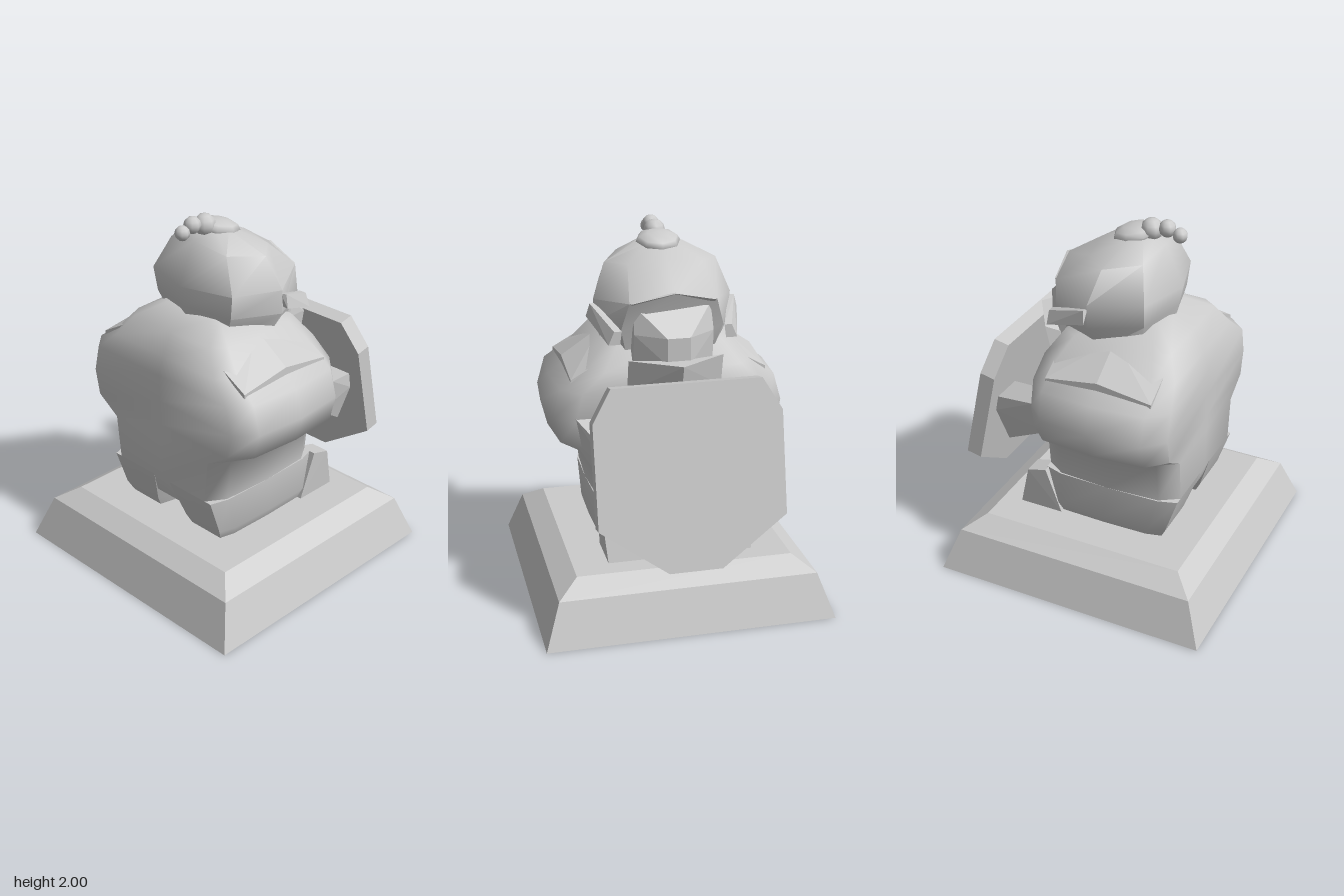
import * as THREE from 'three';
import { toCreasedNormals } from 'three/addons/utils/BufferGeometryUtils.js';
import { ConvexGeometry } from 'three/addons/geometries/ConvexGeometry.js';

const material = new THREE.MeshStandardMaterial({ color: 0xcccccc });

function add(parent, name, geometry) {
  const mesh = new THREE.Mesh(geometry, material);
  mesh.name = name;
  parent.add(mesh);
  return mesh;
}

// Skin over rings listed bottom to top, each counter-clockwise seen from above.
function loft(rings, crease) {
  const n = rings[0].length, pos = rings.flat(2), index = [];
  for (let i = 0; i < rings.length - 1; i++) {
    for (let j = 0; j < n; j++) {
      const a = i * n + j, b = i * n + (j + 1) % n;
      index.push(a, b, b + n, a, b + n, a + n);
    }
  }
  const cap = (ring, start, up) => {
    const c = pos.length / 3;
    for (let k = 0; k < 3; k++) pos.push(ring.reduce((s, p) => s + p[k], 0) / n);
    for (let j = 0; j < n; j++) {
      const a = start + j, b = start + (j + 1) % n;
      index.push(c, ...(up ? [a, b] : [b, a]));
    }
  };
  cap(rings[0], 0, false);
  cap(rings.at(-1), (rings.length - 1) * n, true);
  const g = new THREE.BufferGeometry();
  g.setAttribute('position', new THREE.Float32BufferAttribute(pos, 3));
  g.setIndex(index);
  return toCreasedNormals(g, crease);
}

// Chamfered rectangular ring with slightly bowed sides.
function ring(y, x0, x1, z0, z1) {
  const xm = (x0 + x1) / 2, w = z1 - z0, dx = (x1 - x0) * 0.13;
  const zm = (z0 + z1) / 2, a = w * 0.4, b = w * 0.48, h = w * 0.5;
  return [[x1, zm], [x1, zm - a], [x1 - dx, zm - b], [xm, zm - h], [x0 + dx, zm - b], [x0, zm - a],
    [x0, zm], [x0, zm + a], [x0 + dx, zm + b], [xm, zm + h], [x1 - dx, zm + b], [x1, zm + a]]
    .map(([x, z]) => [x, y, z]);
}

// Plain rectangular ring.
const rect = (y, x0, x1, z) => [[x1, y, z], [x1, y, -z], [x0, y, -z], [x0, y, z]];

// Faceted solid around a few corners, with z mirrored by s.
const hull = (points, s = 1) =>
  new ConvexGeometry(points.map(([x, y, z]) => new THREE.Vector3(x, y, z * s)));

// Symmetric eight-sided head ring from [x, y, z] points, front to back.
function headRing(half) {
  const right = half.map(([x, y, z]) => [x, y, -z]);
  return [...right, ...half.slice(1, -1).reverse()];
}

export function createModel() {
  const model = new THREE.Group();

  // Stepped plinth
  add(model, 'base', loft([
    rect(0, -0.79, 0.755, 0.773),
    rect(0.235, -0.7, 0.67, 0.69),
    rect(0.31, -0.59, 0.56, 0.578),
  ], 0.1));

  // Torso with bulging shoulders
  const torso = [
    [0.45, -0.44, 0.28, 0.39], [0.58, -0.49, 0.29, 0.41], [0.82, -0.49, 0.29, 0.44],
    [0.91, -0.49, 0.29, 0.61], [1.05, -0.49, 0.29, 0.645], [1.2, -0.49, 0.29, 0.6],
    [1.3, -0.46, 0.28, 0.46], [1.42, -0.4, 0.2, 0.35], [1.5, -0.28, 0.0, 0.2],
  ];
  add(model, 'torso', loft(torso.map(([y, x0, x1, z]) => ring(y, x0, x1, -z, z)), 1.2));

  for (const s of [1, -1]) {
    const side = s > 0 ? 'right' : 'left';
    const span = (y, x0, x1, a, b) => ring(y, x0, x1, Math.min(a * s, b * s), Math.max(a * s, b * s));

    // Leg and boot
    add(model, side + 'Leg', loft([
      span(0.31, -0.39, 0.28, 0.1, 0.37),
      span(0.37, -0.42, 0.29, 0.08, 0.4),
      span(0.58, -0.49, 0.29, 0.02, 0.41),
    ], 1));
    add(model, side + 'Foot', hull([
      [0.2, 0.31, 0.08], [0.45, 0.31, 0.08], [0.2, 0.31, 0.39], [0.45, 0.31, 0.39],
      [0.39, 0.55, 0.3], [0.39, 0.55, 0.41], [0.28, 0.58, 0.3], [0.28, 0.58, 0.41],
      [0.28, 0.4, 0.08], [0.43, 0.37, 0.08],
    ], s));

    // Forearm reaching to the shield
    add(model, side + 'Arm', hull([
      [0.19, 0.92, 0.33], [0.19, 0.92, 0.52], [0.28, 1.07, 0.36], [0.28, 1.07, 0.52],
      [0.53, 0.69, 0.2], [0.53, 0.69, 0.36], [0.57, 0.97, 0.22], [0.57, 0.97, 0.4],
      [0.58, 0.88, 0.22], [0.58, 0.88, 0.4],
    ], s));

    // Ridged shoulder plate in two halves
    for (const end of [-0.4, 0.195]) {
      const corners = [];
      for (const t of [0, 0.05]) {
        corners.push([end, 1.37 - t, 0.31], [-0.1, 1.44 - t, 0.31],
          [end, 1.25 - t, 0.525], [-0.1, 1.295 - t, 0.525]);
      }
      add(model, side + 'ShoulderPlate', hull(corners, s));
    }

    // Cheek strip on the helmet
    add(model, side + 'HelmetStrip', hull([
      [0.03, 1.61, 0.36], [0.04, 1.61, 0.39], [0.03, 1.54, 0.41], [0.05, 1.53, 0.36],
      [0.28, 1.52, 0.27], [0.28, 1.52, 0.31], [0.28, 1.45, 0.34], [0.28, 1.45, 0.28],
    ], s));

    // Half of the chevron chin guard
    add(model, side + 'ChinGuard', hull([
      [0.5, 1.38, 0], [0.4, 1.38, 0], [0.34, 1.38, 0.25], [0.27, 1.35, 0.21],
      [0.45, 1.2, 0], [0.36, 1.2, 0], [0.3, 1.2, 0.25], [0.26, 1.23, 0.21],
    ], s));
  }

  // Helmet
  add(model, 'helmet', loft([
    headRing([[0.22, 1.36, 0], [0.2, 1.36, 0.23], [0, 1.35, 0.3], [-0.2, 1.37, 0.2], [-0.28, 1.39, 0]]),
    headRing([[0.25, 1.55, 0], [0.26, 1.52, 0.27], [0.03, 1.5, 0.37], [-0.24, 1.52, 0.27], [-0.31, 1.54, 0]]),
    headRing([[0.33, 1.71, 0], [0.28, 1.66, 0.23], [0.03, 1.63, 0.37], [-0.25, 1.65, 0.29], [-0.335, 1.65, 0]]),
    headRing([[0.13, 1.84, 0], [0.1, 1.82, 0.2], [-0.02, 1.81, 0.3], [-0.2, 1.83, 0.2], [-0.235, 1.87, 0]]),
    headRing([[0.0, 1.9, 0], [-0.02, 1.9, 0.07], [-0.08, 1.91, 0.1], [-0.14, 1.91, 0.07], [-0.18, 1.91, 0]]),
  ], 0.9));

  // Face below the peaked brim
  const face = [];
  for (const z of [-0.21, 0.21]) {
    face.push([0.1, 1.3, z], [0.1, 1.62, z], [0.26, 1.64, z * 0.95], [0.27, 1.3, z], [0.29, 1.5, z]);
  }
  add(model, 'face', hull([...face, [0.4, 1.5, 0.06], [0.4, 1.5, -0.06], [0.4, 1.36, 0.06], [0.4, 1.36, -0.06]]));
  for (const s of [1, -1]) {
    add(model, 'brim', hull([
      [0.335, 1.715, 0], [0.3, 1.69, 0], [0.2, 1.73, 0], [0.29, 1.66, 0.22], [0.26, 1.63, 0.22], [0.2, 1.68, 0.22],
    ], s));
  }

  // Knot and trailing beads on the crown
  const ball = (name, x, y, r, flat) => {
    const mesh = add(model, name, new THREE.SphereGeometry(r, 8, 6));
    mesh.position.set(x, y, 0);
    mesh.scale.y = flat;
    mesh.rotation.z = flat < 1 ? -0.2 : 0;
  };
  ball('crownKnot', -0.065, 1.9, 0.12, 0.42);
  ball('bead', -0.155, 1.935, 0.06, 1);
  ball('bead', -0.24, 1.955, 0.046, 1);
  ball('bead', -0.31, 1.93, 0.04, 1);

  // Leaning eight-sided shield
  const half = [[0.39, 0.48], [0.49, 0.31], [0.49, -0.23], [0.14, -0.48]];
  const outline = [...half, ...half.map(([x, y]) => [-x, y]).reverse()];
  const shape = new THREE.Shape(outline.map(([x, y]) => new THREE.Vector2(x, y)));
  const plate = new THREE.ExtrudeGeometry(shape, { depth: 0.085, bevelEnabled: false });
  plate.translate(0, 0, -0.0425).rotateY(Math.PI / 2).rotateZ(0.22);
  add(model, 'shield', plate).position.set(0.632, 0.842, 0);

  return model;
}
